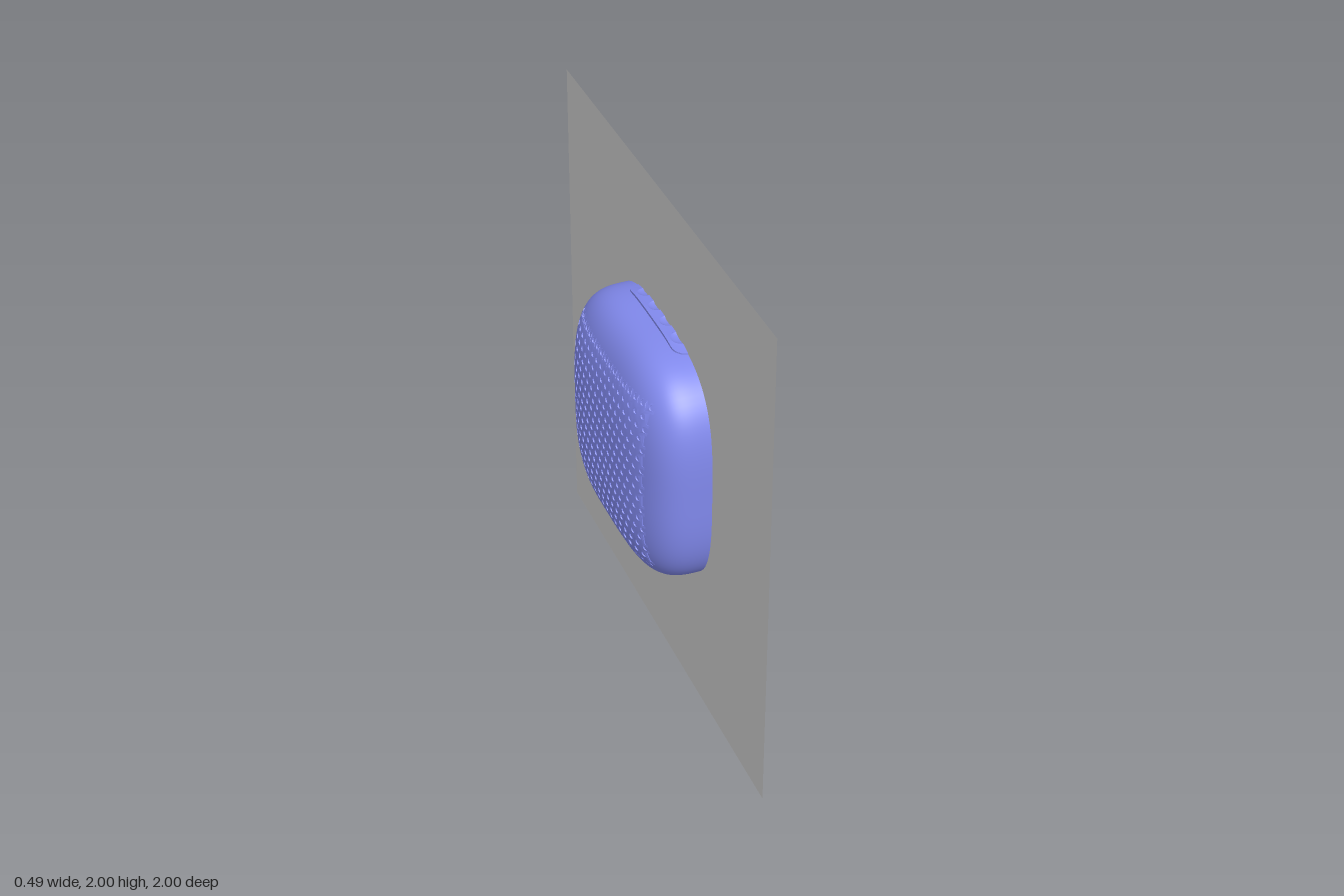
import * as THREE from 'three';
import { mergeGeometries, mergeVertices, toCreasedNormals } from 'three/addons/utils/BufferGeometryUtils.js';

const A = 0.245, B = 0.487, N = 3.3, CY = 1.005; // half thickness, half width, squareness, centre height

const blue = new THREE.MeshStandardMaterial({ color: 0x8088eb });
const black = new THREE.MeshStandardMaterial({ color: 0x2a2a2a });
const grey = new THREE.MeshStandardMaterial({ color: 0xcccccc, side: THREE.DoubleSide });

// Height of the pillow surface above its mid-plane, from two normalised coordinates
const height = (a, b) => Math.pow(Math.max(0, 1 - Math.abs(a) ** N - Math.abs(b) ** N), 1 / N);

function mesh(name, geometry, material) {
  const m = new THREE.Mesh(geometry, material);
  m.name = name;
  return m;
}

// Move every vertex by a rule
function warp(geometry, rule) {
  const p = geometry.attributes.position;
  const v = new THREE.Vector3();
  for (let i = 0; i < p.count; i++) {
    rule(v.fromBufferAttribute(p, i));
    p.setXYZ(i, v.x, v.y, v.z);
  }
  return geometry;
}

function creased(geometry) {
  const g = geometry.index ? geometry.toNonIndexed() : geometry;
  return toCreasedNormals(g, 0.6);
}

// Lathe around the x axis; y of the profile becomes x
function latheX(points, segments) {
  return new THREE.LatheGeometry(points.map(([r, x]) => new THREE.Vector2(r, x)), segments).rotateZ(-Math.PI / 2);
}

// Pillow-shaped shell with a round opening on its +x side
function bodyGeometry() {
  const open = Math.atan(0.459);
  const rings = 72;
  const profile = [];
  for (let i = 0; i <= rings; i++) {
    const a = Math.PI + (open - Math.PI) * i / rings;
    profile.push([i === 0 ? 0 : Math.sin(a), Math.cos(a)]);
  }
  let g = warp(latheX(profile, 128), v => {
    const norm = (Math.abs(v.x) ** N + Math.abs(v.y) ** N + Math.abs(v.z) ** N) ** (1 / N);
    v.divideScalar(norm);
    v.set(v.x * A, v.y * B, v.z * B);
  });
  g.deleteAttribute('normal');
  g.deleteAttribute('uv');
  g = mergeVertices(g, 1e-5);
  g.computeVertexNormals();
  return g;
}

// Lay a flat piece (x, y, thickness z) over the top of the body
function drapeTop(geometry) {
  return warp(geometry, v => {
    const x = v.x, z = -v.y;
    const lift = v.z > 0 ? v.z * (1 - 0.6 * (z / 0.25) ** 4) : v.z;
    v.set(x, B * height(x / A, z / B) + lift, z);
  });
}

// Lay a flat piece over the -x side, sinking into the body at its border
function drapeSide(geometry, half) {
  return warp(geometry, v => {
    const z = v.x, y = v.y;
    const edge = Math.max(Math.abs(y), Math.abs(z));
    const sink = 0.008 * THREE.MathUtils.smoothstep(edge, half - 0.03, half);
    v.set(-(A * height(y / B, z / B) + v.z - sink), y, z);
  });
}

const hole = (x, y, r, n) => new THREE.Path(
  Array.from({ length: n }, (_, i) => {
    const a = -2 * Math.PI * i / n;
    return new THREE.Vector2(x + r * Math.cos(a), y + r * Math.sin(a));
  }));

export function createModel() {
  const model = new THREE.Group();
  const device = new THREE.Group();
  device.name = 'device';
  device.position.y = CY;
  model.add(device);

  // Upright square sheet through the middle
  const panel = mesh('backingSheet', new THREE.PlaneGeometry(2, 2), grey);
  panel.rotation.y = Math.PI / 2;
  panel.position.y = 1;
  model.add(panel);

  device.add(mesh('body', bodyGeometry(), blue));

  // Recess and round black face on the +x side
  const recess = latheX([[0.221, 0.24], [0.212, 0.236], [0.208, 0.215], [0, 0.215]], 64);
  device.add(mesh('faceRecess', creased(recess), blue));
  const face = latheX([[0.2, 0.2], [0.2, 0.231], [0.196, 0.235], [0, 0.235]], 64);
  device.add(mesh('roundFace', creased(face), black));

  // Raised strip on top with four dimpled buttons
  const outline = [];
  const r = 0.047, straight = 0.2, steps = 16;
  for (const s of [1, -1]) {
    for (let i = 0; i < steps; i++) outline.push(new THREE.Vector2(s * r, s * straight * (2 * i / steps - 1)));
    for (let i = 0; i < 12; i++) {
      const a = Math.PI * i / 12;
      outline.push(new THREE.Vector2(s * r * Math.cos(a), s * (straight + r * Math.sin(a))));
    }
  }
  const stripShape = new THREE.Shape(outline);
  const buttonZ = [-0.165, -0.055, 0.055, 0.165];
  for (const z of buttonZ) stripShape.holes.push(hole(0, -z, 0.033, 24));
  const strip = new THREE.ExtrudeGeometry(stripShape, { depth: 0.015, bevelEnabled: false });
  strip.translate(0, 0, -0.005);
  device.add(mesh('buttonStrip', creased(drapeTop(strip)), blue));

  const bowl = [[0.033, 0.01], [0.026, 0.005], [0.015, 0.002], [0, 0.001]].map(([x, y]) => new THREE.Vector2(x, y));
  for (const z of buttonZ) {
    const g = new THREE.LatheGeometry(bowl, 24).rotateX(Math.PI / 2).translate(0, -z, 0);
    drapeTop(g).computeVertexNormals();
    device.add(mesh('buttonDimple', g, blue));
  }

  // Perforated grille on the -x side, one small tile per hole, rows staggered
  const pitch = 0.044, rows = 17, half = pitch * rows / 2;
  const h = pitch / 2;
  const tileShape = new THREE.Shape([[-h, -h], [0, -h], [h, -h], [h, h], [0, h], [-h, h]].map(([x, y]) => new THREE.Vector2(x, y)));
  tileShape.holes.push(hole(0, 0, 0.012, 10));
  const tile = new THREE.ExtrudeGeometry(tileShape, { depth: 0.009, bevelEnabled: false }).translate(0, 0, -0.004);
  const tiles = [];
  for (let j = 0; j < rows; j++) {
    const columns = rows - j % 2;
    for (let i = 0; i < columns; i++) {
      tiles.push(tile.clone().translate((i - (columns - 1) / 2) * pitch, (j - (rows - 1) / 2) * pitch, 0));
    }
  }
  device.add(mesh('speakerGrille', creased(drapeSide(mergeGeometries(tiles), half)), blue));

  return model;
}
